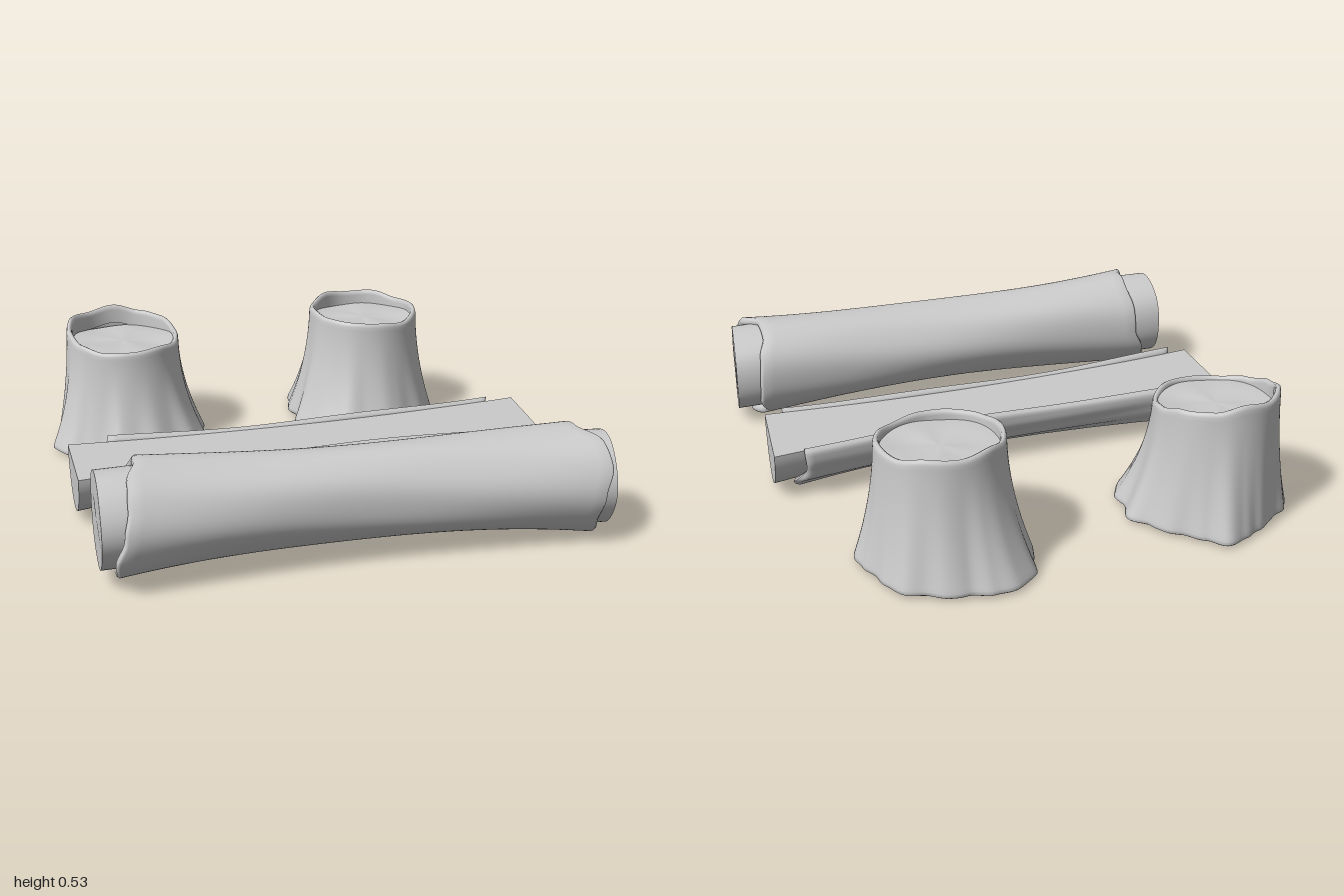
import * as THREE from 'three';

const TAU = Math.PI * 2;
const material = new THREE.MeshStandardMaterial({ color: 0xcccccc, side: THREE.DoubleSide });
const lerp = THREE.MathUtils.lerp;

// Smooth lookup in a short list; t runs 0..1, closed lists wrap around
function along(list, t, closed) {
  const n = list.length;
  const f = closed ? (((t % 1) + 1) % 1) * n : THREE.MathUtils.clamp(t, 0, 1) * (n - 1);
  const i = Math.floor(f), k = f - i, s = k * k * (3 - 2 * k);
  return lerp(list[i % n], list[closed ? (i + 1) % n : Math.min(i + 1, n - 1)], s);
}

// Skin over a grid: point(row, t) gives [x, y, z]; t runs 0..1 across the columns
function skin(name, rows, cols, closed, point) {
  const pos = [], idx = [], w = closed ? cols : cols + 1;
  for (const row of rows) for (let j = 0; j < w; j++) pos.push(...point(row, j / cols));
  for (let i = 0; i < rows.length - 1; i++) {
    for (let j = 0; j < cols; j++) {
      const a = i * w + j, b = i * w + (j + 1) % w, c = a + w, d = b + w;
      idx.push(a, b, c, b, d, c);
    }
  }
  const geo = new THREE.BufferGeometry();
  geo.setAttribute('position', new THREE.Float32BufferAttribute(pos, 3));
  geo.setIndex(idx);
  geo.computeVertexNormals();
  const mesh = new THREE.Mesh(geo, material);
  mesh.name = name;
  return mesh;
}

const steps = (n, a = 0, b = 1) => Array.from({ length: n + 1 }, (_, i) => lerp(a, b, i / n));

function group(name, ...meshes) {
  const g = new THREE.Group();
  g.name = name;
  g.add(...meshes);
  return g;
}

// Whole log: waisted, slightly bent, bark sleeve with ragged ends over a core
function makeLog() {
  const radius = x => 0.172 + 0.05 * x * x;
  const ring = (x, r, a) => [x,
    0.238 - 0.014 * x - 0.015 * x * x + r * Math.cos(a),
    0.728 + 0.05 * x + 0.02 * x * x + r * Math.sin(a)];
  const leftEdge = [-0.82, -0.86, -0.87, -0.89, -0.92, -0.91, -0.88, -0.9, -0.86, -0.82, -0.82, -0.81];
  const rightEdge = [0.83, 0.885, 0.89, 0.86, 0.85, 0.87, 0.88, 0.84, 0.87, 0.87, 0.86, 0.83];
  // each row: [position along, depth below the bark surface, inset from the edge]
  const barkRows = [[0, 0.038, 0.05], [0, 0.034, 0.008], [0, 0.022, 0], [0, 0.008, 0.003],
    ...steps(40).map(s => [s, 0, 0.012]),
    [1, 0.008, 0.003], [1, 0.022, 0], [1, 0.034, 0.008], [1, 0.038, 0.05]];
  const bark = skin('logBark', barkRows, 96, true, ([s, depth, inset], t) => {
    const a = t * TAU;
    const x = lerp(along(leftEdge, t, true) + inset, along(rightEdge, t, true) - inset, s);
    const bump = 0.0025 * Math.sin(3 * a + 5 * x) + 0.0015 * Math.sin(7 * a - 4 * x);
    return ring(x, radius(x) - depth + bump, a);
  });
  const core = (s, k, t) => {
    const a = t * TAU, r0 = 0.172 * k;
    const dz = r0 * Math.sin(a);
    const x = lerp(-0.953 - 0.07 * dz, 0.937 - 0.15 * dz, s);
    const r = Math.min(0.175, radius(x) - 0.03) * k * (1 + 0.012 * Math.sin(5 * a));
    const p = ring(x, r, a);
    p[0] += 0.004 * k * (1 - k) * Math.sin(3 * a);
    return p;
  };
  return group('log', bark,
    skin('logCore', steps(16), 64, true, (s, t) => core(s, 1, t)),
    skin('logLeftEnd', steps(6), 64, true, (k, t) => core(0, k, t)),
    skin('logRightEnd', steps(6, 1, 0), 64, true, (k, t) => core(1, k, t)));
}

// Split log lying flat side up, with a trough of bark underneath
function makeSplitLog() {
  const top = 0.215;
  const half = x => 0.166 + 0.056 * x * x;
  const mid = x => 0.1 + 0.006 * x;
  const leftEdge = [-0.87, -0.88, -0.84, -0.87, -0.83, -0.8, -0.77];
  const rightEdge = [0.85, 0.83, 0.87, 0.84, 0.88, 0.84, 0.85];
  const barkRows = [0, 0.004, 0.012, ...steps(40, 0.02, 0.98), 0.988, 0.996, 1];
  // cross-section loop: outer face one way, inner face back
  const bark = skin('splitLogBark', barkRows, 112, true, (s, t) => {
    const outer = t < 0.5, q = outer ? t * 2 : 2 - t * 2;
    const a = lerp(-0.1, Math.PI + 0.1, q);
    const x = lerp(along(leftEdge, q), along(rightEdge, q), s);
    const full = Math.sqrt(Math.min(1, Math.min(s, 1 - s) / 0.012));
    const lip = Math.sqrt(Math.min(1, Math.min(q, 1 - q) / 0.03));
    const ridge = 0.005 * Math.sin(13 * a + 2.5 * Math.sin(2 * x + 1)) * Math.sin(a);
    const thick = 0.015 * full * lip;
    const r = half(x) - 0.015 + (outer ? thick + ridge * full : -thick);
    return [x, top - r * Math.sin(a) + 0.004 * Math.sin(6 * x) * (1 - Math.sin(a)), mid(x) + r * Math.cos(a)];
  });
  // wood: k = 1 on the round underside, 0 on the flat top
  const wood = (s, k, t) => {
    const a = t * Math.PI, c = Math.cos(a);
    const x = lerp(-0.938 - 0.01 * c, 0.943 - 0.023 * c, s);
    const r = half(x) - 0.028;
    return [x, top - k * r * Math.sin(a), mid(x) + r * c];
  };
  return group('splitLog', bark,
    skin('splitLogUnderside', steps(24), 40, false, (s, t) => wood(s, 1, t)),
    skin('splitLogFlatTop', steps(24), 16, false, (s, t) => wood(s, 0, 1 - t)),
    skin('splitLogLeftEnd', steps(4), 40, false, (k, t) => wood(0, k, t)),
    skin('splitLogRightEnd', steps(4, 1, 0), 40, false, (k, t) => wood(1, k, t)));
}

// Stump: flared root lobes, ragged bark rim, sunken cut face
function makeStump(name, cx, cz, capY, lobes, rim) {
  const floor = 0.012;
  const at = (r, y, a) => [cx + r * Math.sin(a), y, cz + r * Math.cos(a)];
  const rows = [[0, -0.012], [0.012, -0.002], ...steps(28, 0.04, 0.965).map(h => [h, 0]),
    [0.988, -0.003], [1, -0.011], [0.99, -0.02], [0.96, -0.023], [0.85, -0.024]];
  const bark = skin(name + 'Bark', rows, 144, true, ([h, off], t) => {
    const a = t * TAU;
    const g = 1 - Math.pow(1 - h, 1.9);
    const groove = 0.003 * Math.sin(11 * a + 2 * h) * (1 - h);
    const r = lerp(along(lobes, t, true), 0.236, g) + groove + off;
    return at(r, lerp(floor, along(rim, t, true), h), a);
  });
  const cap = skin(name + 'CutFace', steps(10, 1, 0), 64, true, (k, t) => {
    const a = t * TAU, r = 0.222 * k;
    return at(r, capY + 0.004 * k * Math.sin(2 * a + 5 * k) + 0.003 * k * Math.sin(5 * a), a);
  });
  const base = skin(name + 'Base', steps(3), 144, true, (k, t) => {
    const groove = 0.003 * Math.sin(11 * t * TAU);
    return at((along(lobes, t, true) + groove - 0.012) * k, floor, t * TAU);
  });
  return group(name, bark, cap, base);
}

export function createModel() {
  // lists go around each stump from the front towards +x
  const leftLobes = [0.335, 0.36, 0.345, 0.38, 0.375, 0.33, 0.355, 0.3, 0.3, 0.277, 0.295, 0.33,
    0.295, 0.27, 0.257, 0.26, 0.285, 0.3, 0.28, 0.35, 0.345, 0.315, 0.3, 0.355];
  const rightLobes = [0.335, 0.325, 0.31, 0.32, 0.315, 0.32, 0.305, 0.28, 0.3, 0.31, 0.295, 0.31,
    0.31, 0.35, 0.375, 0.38, 0.34, 0.34, 0.307, 0.355, 0.34, 0.35, 0.36, 0.335];
  const leftRim = [0.455, 0.462, 0.45, 0.47, 0.5, 0.51, 0.535, 0.52, 0.53, 0.5, 0.47, 0.452];
  const rightRim = [0.485, 0.475, 0.49, 0.5, 0.495, 0.515, 0.51, 0.522, 0.5, 0.508, 0.495, 0.49];
  return group('logsAndStumps',
    makeLog(),
    makeSplitLog(),
    makeStump('rightStump', -0.59, -0.665, 0.443, leftLobes, leftRim),
    makeStump('leftStump', 0.49, -0.655, 0.455, rightLobes, rightRim));
}
